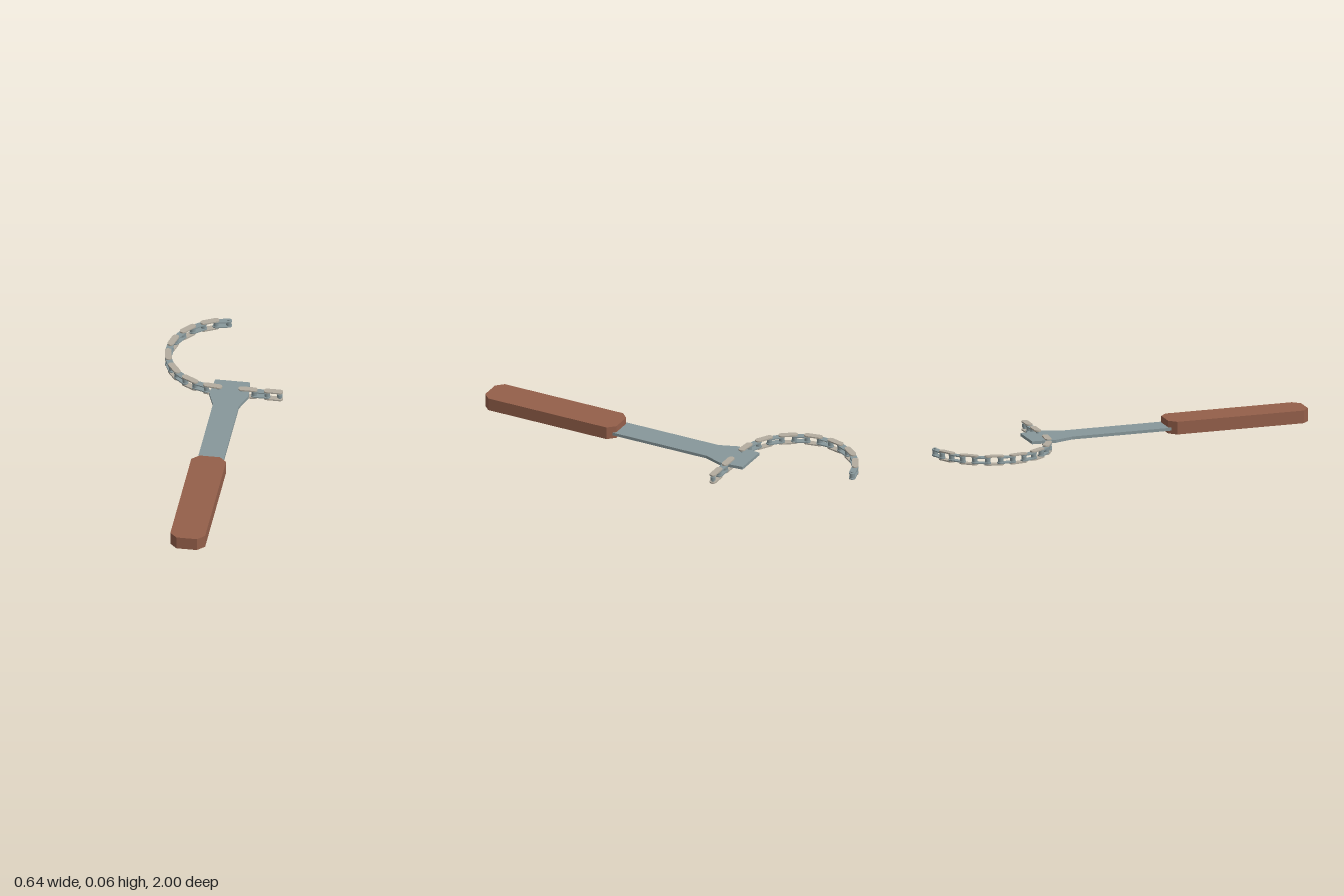
import * as THREE from 'three';

const steel = new THREE.MeshStandardMaterial({ name: 'steel', color: 0x87979a });
const paleSteel = new THREE.MeshStandardMaterial({ name: 'paleSteel', color: 0xb3ac9f });
const wood = new THREE.MeshStandardMaterial({ name: 'wood', color: 0x945f4a });

const MID = 0.024;      // height of the chain's centre line
const PITCH = 0.064;    // distance between chain joints
const END_R = 0.0165;   // rounded end of a link plate
const CHAIN_Z = -0.387;

// Extrudes a plan outline upwards from y0 by h; outline y is -z.
function slab(shape, y0, h) {
  const g = new THREE.ExtrudeGeometry(shape, { depth: h, bevelEnabled: false, curveSegments: 10 });
  g.rotateX(-Math.PI / 2);
  g.translate(0, y0, 0);
  return g;
}

function outline(points) {
  return new THREE.Shape(points.map(([x, z]) => new THREE.Vector2(x, -z)));
}

function add(parent, geometry, material, name) {
  const mesh = new THREE.Mesh(geometry, material);
  mesh.name = name;
  parent.add(mesh);
  return mesh;
}

// Plan of a link plate: two round ends joined by straight sides
function linkShape() {
  const s = new THREE.Shape();
  s.absarc(PITCH / 2, 0, END_R, -Math.PI / 2, Math.PI / 2, false);
  s.absarc(-PITCH / 2, 0, END_R, Math.PI / 2, Math.PI * 1.5, false);
  s.closePath();
  return s;
}

// Chain through a list of joints, starting with an outer link
function makeChain(joints, name) {
  const chain = new THREE.Group();
  chain.name = name;
  const shape = linkShape();
  const outer = [slab(shape, 0, 0.007), slab(shape, 0.041, 0.007)];
  const inner = [slab(shape, 0.0075, 0.006), slab(shape, 0.0345, 0.006)];
  const roller = new THREE.CylinderGeometry(0.0135, 0.0135, 0.018, 20);
  const pin = new THREE.CylinderGeometry(0.0075, 0.0075, 0.046, 16);

  joints.forEach(([x, z], i) => {
    add(chain, pin, steel, 'pin').position.set(x, MID, z);
    if (i > 0) add(chain, roller, steel, 'roller').position.set(x, MID, z);
    if (i === joints.length - 1) return;
    const [x2, z2] = joints[i + 1];
    const isOuter = i % 2 === 0;
    const link = new THREE.Group();
    link.name = isOuter ? 'outerLink' : 'innerLink';
    link.position.set((x + x2) / 2, 0, (z + z2) / 2);
    link.rotation.y = Math.atan2(-(z2 - z), x2 - x);
    for (const g of isOuter ? outer : inner) {
      add(link, g, isOuter ? paleSteel : steel, 'linkPlate');
    }
    chain.add(link);
  });
  return chain;
}

export function createModel() {
  const model = new THREE.Group();
  model.name = 'chainWrench';

  // Wooden grip with chamfered corners
  const c = 0.036;
  const [x0, x1, z0, z1] = [-0.035, 0.14, 0.262, 1];
  add(model, slab(outline([
    [x0 + c, z1], [x1 - c, z1], [x1, z1 - c], [x1, z0 + c],
    [x1 - c, z0], [x0 + c, z0], [x0, z0 + c], [x0, z1 - c],
  ]), 0, 0.065), wood, 'handle');

  // Flat steel bar flaring into the head
  const cx = 0.0525;
  const half = [[0.065, 0.4], [0.065, -0.25], [0.099, -0.345], [0.0875, -0.468]];
  const right = half.map(([w, z]) => [cx + w, z]);
  const left = half.map(([w, z]) => [cx - w, z]).reverse();
  add(model, slab(outline([...right, ...left]), 0.0165, 0.015), steel, 'bar');

  // Short straight chain
  const straight = [0, 1, 2, 3].map((i) => [0.11 + i * PITCH, CHAIN_Z]);
  model.add(makeChain(straight, 'shortChain'));

  // Long chain curling round a circle
  const R = 0.3;
  const step = 2 * Math.asin(PITCH / 2 / R);
  const curl = [];
  for (let i = 0; i <= 14; i++) {
    curl.push([-0.004 - R * Math.sin(i * step), CHAIN_Z - R + R * Math.cos(i * step)]);
  }
  model.add(makeChain(curl, 'longChain'));

  return model;
}
